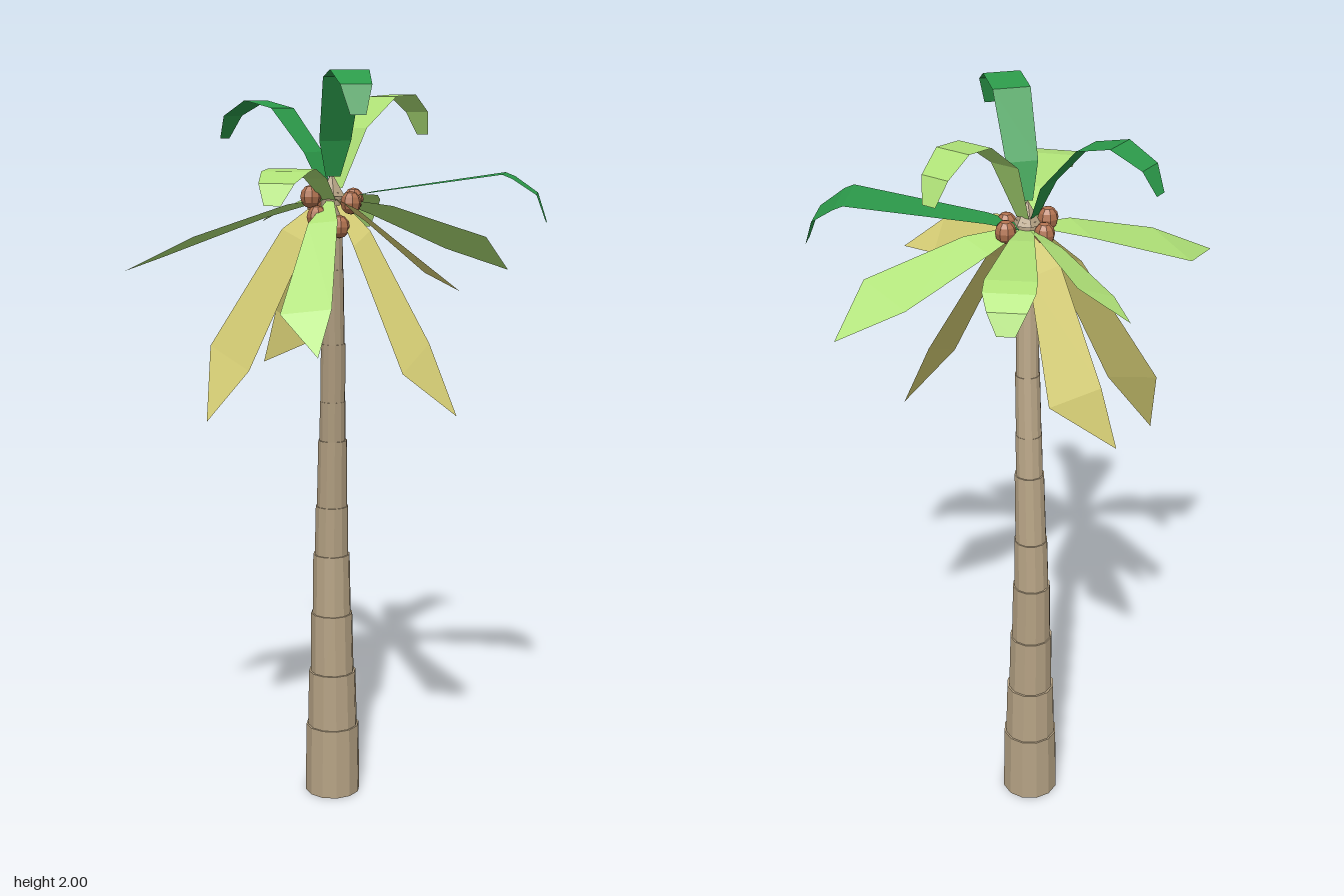
import * as THREE from 'three';

const DARK = 0x2c9a4a, LIGHT = 0xaee076, YELLOW = 0xd8d076, BARK = 0xb5a284, NUT = 0xb0714f;

function add(group, name, geometry, color, side = THREE.FrontSide) {
  const material = new THREE.MeshStandardMaterial({ color, flatShading: true, side });
  const mesh = new THREE.Mesh(geometry, material);
  mesh.name = name;
  group.add(mesh);
  return mesh;
}

// Surface joining [left, right] pairs, optionally closed by a pointed tip
function ribbon(pairs, tip) {
  const positions = pairs.flat(2), index = [];
  for (let i = 0; i < pairs.length - 1; i++) {
    const a = i * 2;
    index.push(a, a + 1, a + 2, a + 1, a + 3, a + 2);
  }
  if (tip) {
    const n = pairs.length * 2;
    positions.push(...tip);
    index.push(n - 2, n - 1, n);
  }
  const g = new THREE.BufferGeometry();
  g.setAttribute('position', new THREE.Float32BufferAttribute(positions, 3));
  g.setIndex(index);
  g.computeVertexNormals();
  return g;
}

// Arching frond: flat strip following [radius, height] points in direction (dx, dz)
function archedFrond(group, color, dx, dz, halfWidth, factors, path) {
  const len = Math.hypot(dx, dz), ux = dx / len, uz = dz / len;
  const pairs = path.map(([r, y], i) => {
    const w = halfWidth * factors[i];
    return [[ux * r + uz * w, y, uz * r - ux * w], [ux * r - uz * w, y, uz * r + ux * w]];
  });
  add(group, 'archedFrond', ribbon(pairs), color, THREE.DoubleSide);
}

// Pointed leaf: widens from the crown to two corners, then a skewed tip
function pointedLeaf(group, color, left, right, tip, bow) {
  const L = new THREE.Vector3(...left), R = new THREE.Vector3(...right);
  const mid = L.clone().add(R).multiplyScalar(0.5);
  const half = R.clone().sub(L).multiplyScalar(0.5);
  const root = new THREE.Vector3(mid.x * 0.06, 1.68, mid.z * 0.06);
  const section = (t, w, lift) => {
    const c = root.clone().lerp(mid, t);
    c.y += lift;
    return [c.clone().addScaledVector(half, -w).toArray(), c.clone().addScaledVector(half, w).toArray()];
  };
  const pairs = [section(0, 0.15, 0), section(0.32, 0.6, bow), [left, right]];
  add(group, 'pointedLeaf', ribbon(pairs, tip), color, THREE.DoubleSide);
}

export function createModel() {
  const palm = new THREE.Group();
  palm.name = 'palmTree';

  // Trunk: stacked tapering rings along a bent line, [y, x, z, bottom radius]
  const rings = [
    [0, 0.018, -0.1, 0.078], [0.2, 0.018, -0.1, 0.07], [0.36, 0.017, -0.1, 0.061],
    [0.53, 0.016, -0.103, 0.054], [0.7, 0.016, -0.108, 0.047], [0.84, 0.016, -0.1, 0.042],
    [1.03, 0.015, -0.08, 0.036], [1.14, 0.013, -0.065, 0.034], [1.3, 0.01, -0.04, 0.031],
    [1.5, 0.004, -0.014, 0.028], [1.7, 0, 0, 0.027],
  ];
  const trunk = new THREE.Group();
  trunk.name = 'trunk';
  palm.add(trunk);
  for (let i = 0; i < rings.length - 1; i++) {
    const [y0, x0, z0, r0] = rings[i], [y1, x1, z1, r1] = rings[i + 1];
    const g = new THREE.CylinderGeometry(r1 + (r0 - r1) * 0.6, r0, y1 - y0, 12);
    const p = g.attributes.position;
    for (let v = 0; v < p.count; v++) {
      const t = p.getY(v) / (y1 - y0) + 0.5;
      p.setXYZ(v, p.getX(v) + x0 + (x1 - x0) * t, y0 + (y1 - y0) * t, p.getZ(v) + z0 + (z1 - z0) * t);
    }
    g.computeVertexNormals();
    add(trunk, 'trunkRing', g, BARK);
  }
  add(trunk, 'trunkTip', new THREE.ConeGeometry(0.036, 0.06, 6), BARK).position.set(0, 1.72, 0);

  // Coconuts around the crown
  const nuts = [[-0.058, 1.69, 0.025], [-0.045, 1.64, 0.05], [0.042, 1.675, 0.05], [0.06, 1.68, -0.02],
    [0.012, 1.615, 0.052], [-0.035, 1.67, -0.03]];
  for (const [x, y, z] of nuts) {
    const nut = add(palm, 'coconut', new THREE.SphereGeometry(0.027, 8, 6), NUT);
    nut.position.set(x, y, z);
    nut.scale.y = 1.1;
  }

  // Arched fronds: steep ones rise first, low ones widen slowly
  const steep = [0.4, 0.85, 1, 1, 0.8, 0.4], low = [0.3, 0.5, 1, 1, 0.75, 0.35];
  const fronds = new THREE.Group();
  fronds.name = 'fronds';
  palm.add(fronds);
  archedFrond(fronds, DARK, 0.01, 0.34, 0.048, steep,
    [[0.02, 1.74], [0.05, 1.83], [0.145, 1.985], [0.24, 2], [0.32, 1.965], [0.345, 1.895]]);
  archedFrond(fronds, DARK, -0.245, -0.25, 0.047, steep,
    [[0.02, 1.71], [0.06, 1.8], [0.16, 1.91], [0.25, 1.93], [0.33, 1.89], [0.36, 1.83]]);
  archedFrond(fronds, LIGHT, 0.28, -0.23, 0.048, steep,
    [[0.02, 1.71], [0.09, 1.86], [0.2, 1.94], [0.28, 1.945], [0.345, 1.9], [0.37, 1.84]]);
  archedFrond(fronds, DARK, 0.52, 0.17, 0.08, low,
    [[0.02, 1.68], [0.1, 1.7], [0.44, 1.75], [0.465, 1.74], [0.525, 1.7], [0.55, 1.63]]);
  archedFrond(fronds, LIGHT, -0.195, 0.385, 0.06, low,
    [[0.02, 1.68], [0.13, 1.74], [0.3, 1.77], [0.35, 1.765], [0.41, 1.74], [0.44, 1.69]]);
  archedFrond(fronds, LIGHT, 0.145, -0.39, 0.062, low,
    [[0.02, 1.68], [0.12, 1.69], [0.33, 1.675], [0.37, 1.66], [0.41, 1.63], [0.43, 1.58]]);

  // Pointed leaves: left corner, right corner, tip, upward bow
  const leaves = [
    [LIGHT, [0.33, 1.54, -0.12], [0.41, 1.58, 0.005], [0.505, 1.48, -0.12], 0.01],
    [LIGHT, [-0.365, 1.6, 0.125], [-0.44, 1.54, 0.02], [-0.535, 1.52, 0.14], 0.01],
    [LIGHT, [-0.125, 1.62, -0.33], [-0.03, 1.66, -0.355], [-0.135, 1.595, -0.43], 0.01],
    [LIGHT, [-0.05, 1.44, 0.33], [-0.175, 1.43, 0.33], [-0.095, 1.335, 0.41], 0.03],
    [YELLOW, [-0.115, 1.36, -0.28], [0, 1.29, -0.22], [-0.145, 1.21, -0.32], 0.03],
    [YELLOW, [-0.22, 1.24, 0.01], [-0.31, 1.29, -0.12], [-0.33, 1.1, -0.03], 0.04],
    [YELLOW, [0.235, 1.32, 0.125], [0.145, 1.26, 0.23], [0.295, 1.14, 0.19], 0.03],
    [YELLOW, [0.185, 1.52, 0.285], [0.135, 1.575, 0.39], [0.24, 1.49, 0.43], 0.01],
  ];
  for (const leaf of leaves) pointedLeaf(fronds, ...leaf);

  return palm;
}
